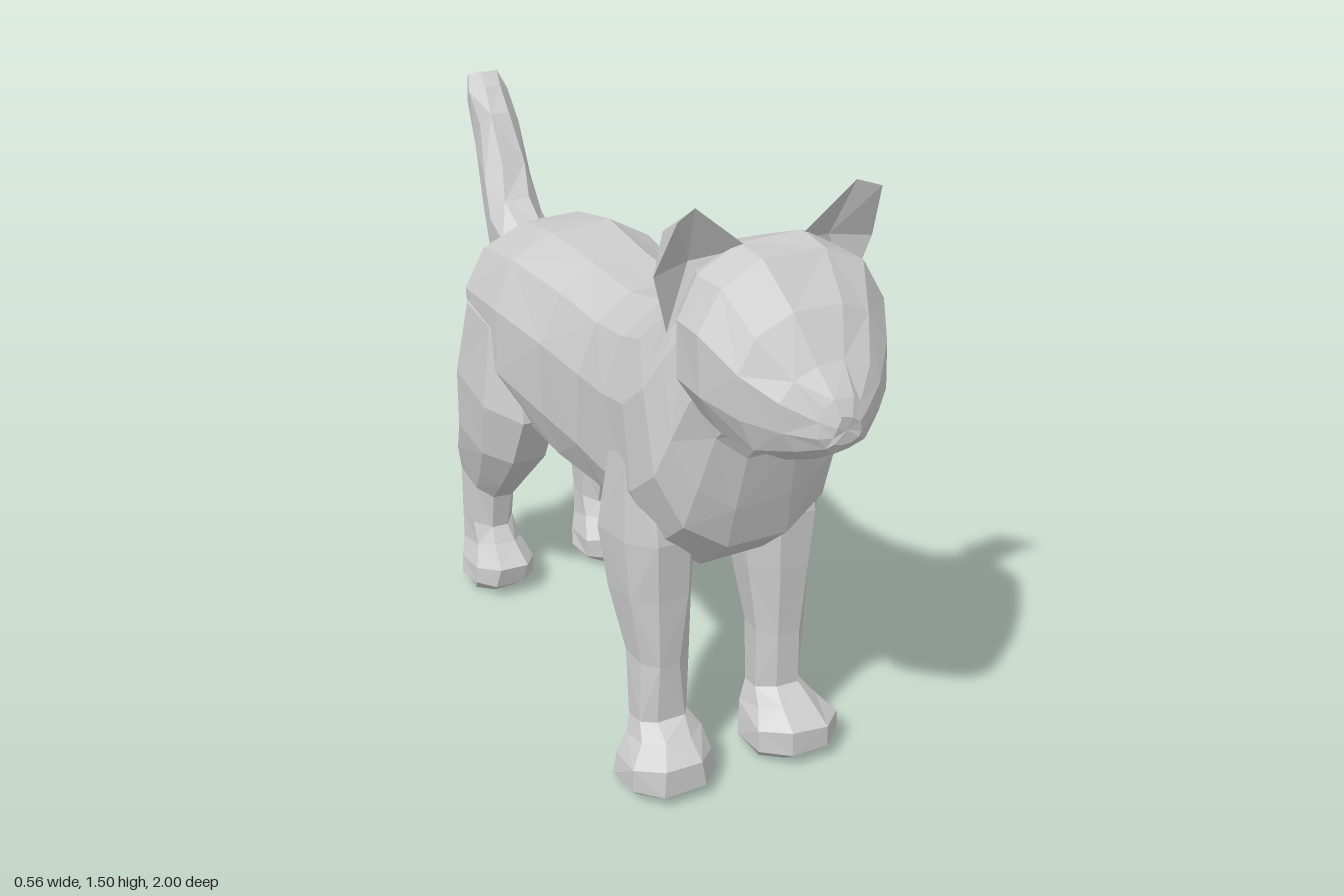
import * as THREE from 'three';

const fur = new THREE.MeshStandardMaterial({ color: 0xcccccc, flatShading: true });
fur.name = 'greyFur';

// Small repeatable wobble for the hand-cut facets
let seed = 7;
const wobble = (size) => {
  seed = (seed * 16807) % 2147483647;
  return (seed / 2147483647 - 0.5) * size;
};

function makeMesh(name, points, index) {
  const geometry = new THREE.BufferGeometry();
  geometry.setAttribute('position', new THREE.Float32BufferAttribute(points, 3));
  geometry.setIndex(index);
  geometry.computeVertexNormals();
  const mesh = new THREE.Mesh(geometry, fur);
  mesh.name = name;
  return mesh;
}

// Closed skin over rings; each ring is [zA, yA, zB, yB, halfWidth, centreX],
// where A and B are its two opposite points in the side profile.
function loft(name, rings, sides, side = 1, square = 0.85) {
  const points = [], index = [];
  const bend = (v) => Math.sign(v) * Math.abs(v) ** square;
  for (const [zA, yA, zB, yB, w, cx = 0] of rings) {
    for (let j = 0; j < sides; j++) {
      const a = ((j + 0.5) / sides) * Math.PI * 2;
      const u = bend(Math.cos(a)), v = bend(Math.sin(a)) / bend(Math.sin(Math.PI / 2 - (sides % 4 ? 0 : Math.PI / sides)));
      points.push(
        cx * side + u * w * 1.03 + wobble(0.014),
        (yA + yB) / 2 + (v * (yA - yB)) / 2 + wobble(0.008),
        (zA + zB) / 2 + (v * (zA - zB)) / 2 + wobble(0.008));
    }
  }
  for (let i = 0; i < rings.length - 1; i++) {
    for (let j = 0; j < sides; j++) {
      const k = (j + 1) % sides;
      const a = i * sides + j, b = i * sides + k, c = b + sides, d = a + sides;
      if ((i + j) % 2) index.push(a, b, c, a, c, d);
      else index.push(a, b, d, b, c, d);
    }
  }
  // End caps
  const last = (rings.length - 1) * sides;
  for (const [ring, start] of [[rings[0], 0], [rings[rings.length - 1], last]]) {
    const centre = points.length / 3;
    points.push((ring[5] || 0) * side, (ring[1] + ring[3]) / 2, (ring[0] + ring[2]) / 2);
    for (let j = 0; j < sides; j++) {
      const a = start + j, b = start + ((j + 1) % sides);
      if (start) index.push(centre, a, b);
      else index.push(centre, b, a);
    }
  }
  return makeMesh(name, points, index);
}

// Cupped ear: a rim joined to a hollow in front and a ridge behind
function ear(name, side) {
  const rim = [[0.19, 1.5, 0.7], [0.24, 1.485, 0.72], [0.262, 1.35, 0.66], [0.22, 1.21, 0.64], [0.06, 1.39, 0.69]];
  const points = [...rim, [0.17, 1.36, 0.635], [0.15, 1.31, 0.56], [0.21, 1.42, 0.6]]
    .flatMap(([x, y, z]) => [x * side, y, z]);
  const index = [];
  for (let i = 0; i < 5; i++) {
    const k = (i + 1) % 5;
    index.push(5, k, i);
    if (i === 0 || i === 1) index.push(7, i, k);
    else index.push(6, i, k);
  }
  index.push(7, 2, 6, 7, 6, 0);
  if (side < 0) index.reverse();
  return makeMesh(name, points, index);
}

export function createModel() {
  const cat = new THREE.Group();
  cat.name = 'cat';

  // Body from rump to neck
  cat.add(loft('body', [
    [-0.53, 0.92, -0.545, 0.72, 0.1],
    [-0.5, 1.0, -0.51, 0.62, 0.18],
    [-0.42, 1.07, -0.4, 0.6, 0.24],
    [-0.24, 1.105, -0.2, 0.58, 0.25],
    [-0.02, 1.1, -0.03, 0.53, 0.215],
    [0.18, 1.1, 0.15, 0.53, 0.2],
    [0.34, 1.14, 0.34, 0.55, 0.225],
    [0.45, 1.19, 0.55, 0.57, 0.245],
    [0.52, 1.25, 0.66, 0.67, 0.235],
    [0.56, 1.31, 0.69, 0.78, 0.21],
    [0.6, 1.35, 0.72, 0.92, 0.18],
    [0.65, 1.35, 0.78, 1.0, 0.15],
  ], 12));

  // Head from nape to nose
  cat.add(loft('head', [
    [0.54, 1.3, 0.62, 1.05, 0.12],
    [0.59, 1.37, 0.66, 1.01, 0.18],
    [0.68, 1.4, 0.7, 0.99, 0.22],
    [0.77, 1.395, 0.78, 0.98, 0.22],
    [0.86, 1.31, 0.87, 0.985, 0.175],
    [0.93, 1.22, 0.94, 1.015, 0.115],
    [0.98, 1.16, 0.985, 1.045, 0.06],
    [1.0, 1.13, 1.0, 1.07, 0.03],
  ], 12));

  // Raised, kinked tail
  cat.add(loft('tail', [
    [-0.47, 0.83, -0.47, 0.97, 0.07, 0.02],
    [-0.6, 0.81, -0.62, 0.98, 0.08, 0.02],
    [-0.74, 0.84, -0.69, 1.02, 0.075, 0.025],
    [-0.83, 0.93, -0.75, 1.1, 0.07, 0.035],
    [-0.92, 1.08, -0.83, 1.22, 0.06, 0.04],
    [-0.99, 1.21, -0.89, 1.28, 0.055, 0.045],
    [-1.0, 1.28, -0.95, 1.305, 0.035, 0.045],
  ], 8));

  // Legs run from hip or shoulder down to the paw
  const frontLeg = [
    [0.54, 0.85, 0.34, 0.85, 0.08, 0.16],
    [0.57, 0.65, 0.33, 0.63, 0.1, 0.16],
    [0.565, 0.5, 0.36, 0.48, 0.085, 0.16],
    [0.56, 0.32, 0.42, 0.32, 0.064, 0.155],
    [0.56, 0.17, 0.44, 0.15, 0.065, 0.155],
    [0.61, 0.14, 0.445, 0.1, 0.085, 0.16],
    [0.665, 0.1, 0.44, 0.06, 0.108, 0.17],
    [0.665, 0.04, 0.45, 0.02, 0.115, 0.17],
    [0.62, 0.005, 0.48, 0.005, 0.09, 0.17],
  ];
  const hindLeg = [
    [-0.18, 0.85, -0.47, 0.9, 0.08, 0.17],
    [-0.14, 0.64, -0.53, 0.7, 0.108, 0.17],
    [-0.2, 0.5, -0.53, 0.52, 0.1, 0.175],
    [-0.32, 0.37, -0.58, 0.42, 0.075, 0.17],
    [-0.42, 0.28, -0.62, 0.33, 0.06, 0.165],
    [-0.44, 0.18, -0.6, 0.2, 0.055, 0.165],
    [-0.41, 0.14, -0.58, 0.1, 0.065, 0.165],
    [-0.34, 0.1, -0.57, 0.05, 0.085, 0.17],
    [-0.35, 0.04, -0.55, 0.02, 0.085, 0.17],
    [-0.4, 0.005, -0.52, 0.005, 0.07, 0.17],
  ];
  for (const [side, label] of [[1, 'left'], [-1, 'right']]) {
    cat.add(loft(label + 'FrontLeg', frontLeg, 8, side));
    cat.add(loft(label + 'HindLeg', hindLeg, 8, side));
    cat.add(ear(label + 'Ear', side));
  }
  return cat;
}
